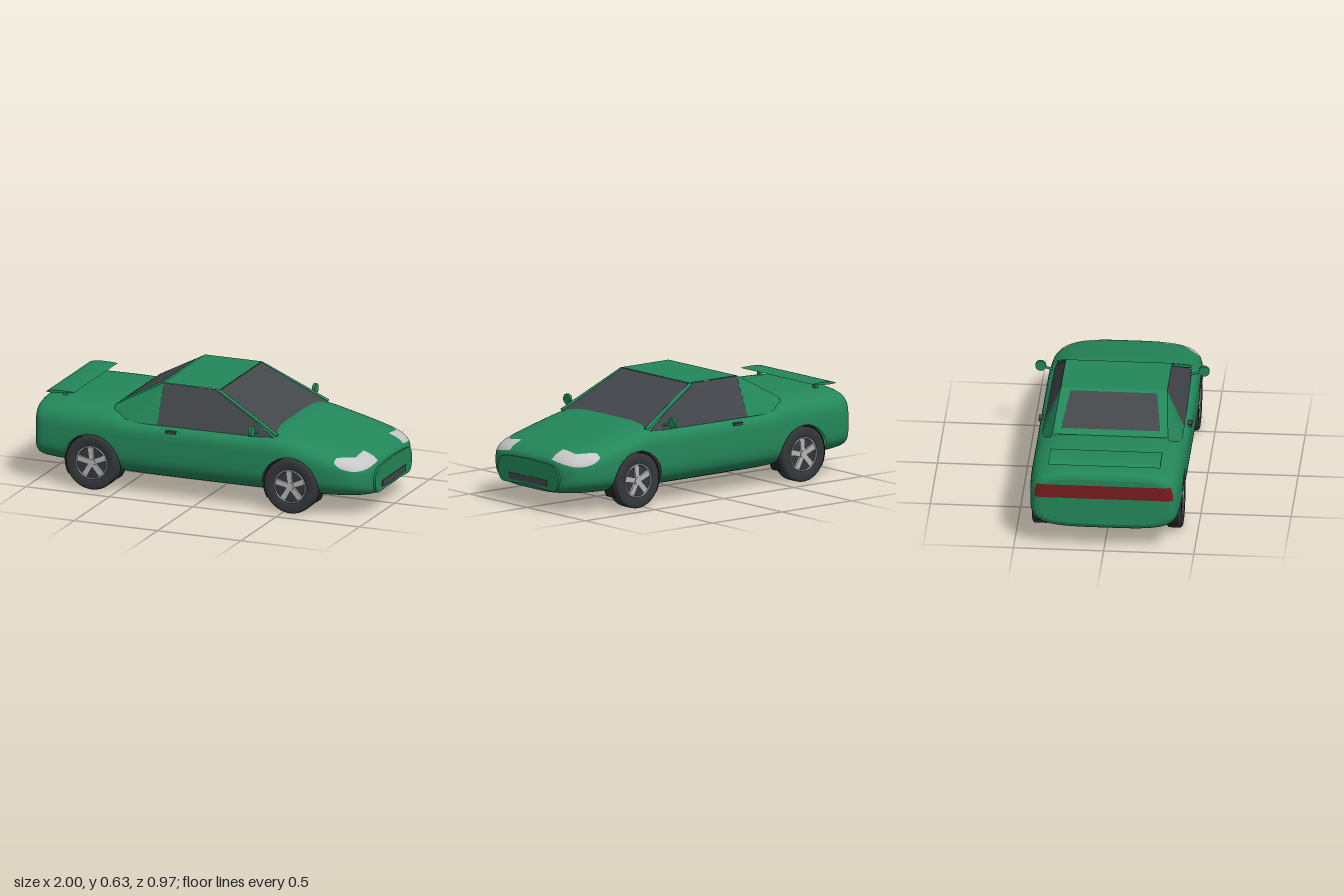
import * as THREE from 'three';

const mat = (name, color, side = THREE.FrontSide) => {
  const m = new THREE.MeshStandardMaterial({ color, side });
  m.name = name;
  return m;
};

// Body stations: x, half width, bottom, widest height, top, lower and upper squareness
const STATIONS = [
  [-1.0, 0.355, 0.165, 0.28, 0.435, 4, 5],
  [-0.985, 0.388, 0.14, 0.28, 0.462, 4, 4.5],
  [-0.94, 0.41, 0.122, 0.28, 0.478, 3.6, 4],
  [-0.8, 0.419, 0.11, 0.28, 0.483, 3.5, 4],
  [-0.55, 0.42, 0.09, 0.28, 0.48, 3.5, 4],
  [-0.42, 0.42, 0.08, 0.27, 0.44, 3.5, 5],
  [-0.1, 0.42, 0.077, 0.27, 0.432, 3.5, 5.5],
  [0.25, 0.42, 0.077, 0.27, 0.435, 3.5, 5],
  [0.44, 0.42, 0.08, 0.265, 0.447, 3.5, 4.5],
  [0.6, 0.419, 0.083, 0.26, 0.415, 3.5, 4],
  [0.76, 0.412, 0.085, 0.245, 0.377, 3.3, 3.6],
  [0.87, 0.388, 0.09, 0.235, 0.35, 3.2, 3.4],
  [0.94, 0.345, 0.098, 0.22, 0.325, 3.2, 3.4],
  [0.975, 0.29, 0.108, 0.205, 0.298, 3.5, 3.5],
  [0.985, 0.25, 0.122, 0.2, 0.275, 4, 4],
];
const LAST = STATIONS.length - 1;
const WHEELS_X = [-0.645, 0.545], HUB_Y = 0.155, ARCH_R = 0.167, WELL_Z = 0.31;

// Smooth blend between stations
function station(u) {
  const i = Math.min(Math.floor(u), LAST - 1), t = u - i;
  const [a, b, c, d] = [i - 1, i, i + 1, i + 2].map(k => STATIONS[THREE.MathUtils.clamp(k, 0, LAST)]);
  return b.map((p, k) => {
    const m0 = (c[k] - a[k]) / 2, m1 = (d[k] - p) / 2, q = c[k];
    return (2 * p - 2 * q + m0 + m1) * t ** 3 + (3 * q - 3 * p - 2 * m0 - m1) * t * t + m0 * t + p;
  });
}

function bodyPoint(u, t) {
  const [x, w, bottom, mid, top, nLow, nHigh] = station(THREE.MathUtils.clamp(u, 0, LAST));
  const c = Math.cos(t), s = Math.sin(t), e = 2 / (s < 0 ? nLow : nHigh);
  const y = s < 0 ? mid - (mid - bottom) * (-s) ** e : mid + (top - mid) * s ** e;
  return new THREE.Vector3(x, y, Math.sign(c) * w * Math.abs(c) ** e);
}

// Vertex as [x, y, z, nx, ny, nz]
function bodyVertex(u, t) {
  const du = bodyPoint(u + 0.1, t).sub(bodyPoint(u - 0.1, t));
  const dt = bodyPoint(u, t + 0.04).sub(bodyPoint(u, t - 0.04));
  return [...bodyPoint(u, t), ...du.cross(dt).normalize()];
}

function bodyTriangles() {
  const SUB = 6, NU = LAST * SUB, NT = 88, tris = [], grid = [];
  for (let i = 0; i <= NU; i++) {
    grid.push(Array.from({ length: NT + 1 }, (_, j) => bodyVertex(i / SUB, j / NT * Math.PI * 2)));
  }
  for (let i = 0; i < NU; i++) for (let j = 0; j < NT; j++) {
    const a = grid[i][j], b = grid[i + 1][j], c = grid[i + 1][j + 1], d = grid[i][j + 1];
    tris.push([a, b, c], [a, c, d]);
  }
  // flat nose and tail
  for (const [ring, s] of [[grid[0], -1], [grid[NU], 1]]) {
    const flat = v => [v[0], v[1], v[2], s, 0, 0];
    const centre = [ring[0][0], ring[0][1], 0, s, 0, 0];
    for (let j = 0; j < NT; j++) {
      const p = flat(ring[j]), q = flat(ring[j + 1]);
      tris.push(s > 0 ? [centre, q, p] : [centre, p, q]);
    }
  }
  return tris;
}

// Cuts triangles along f = 0 and returns [inside, outside]
function split(tris, f) {
  const out = [[], []];
  for (const tri of tris) {
    const val = tri.map(v => f(v[0], v[1], v[2]));
    [1, -1].forEach((sign, side) => {
      const poly = [];
      tri.forEach((v, i) => {
        const k = (i + 1) % 3, a = val[i] * sign, b = val[k] * sign;
        if (a < 0 || (a === 0 && side)) poly.push(v);
        if (a * b < 0) poly.push(v.map((p, n) => p + (tri[k][n] - p) * a / (a - b)));
      });
      for (let i = 2; i < poly.length; i++) out[side].push([poly[0], poly[i - 1], poly[i]]);
    });
  }
  return out;
}

// Region where every test is negative
function carve(tris, tests) {
  let inside = tris;
  const rest = [];
  for (const f of tests) {
    const [a, b] = split(inside, f);
    inside = a;
    for (const tri of b) rest.push(tri);
  }
  return [inside, rest];
}

function skin(tris) {
  const g = new THREE.BufferGeometry(), v = tris.flat();
  g.setAttribute('position', new THREE.Float32BufferAttribute(v.flatMap(p => p.slice(0, 3)), 3));
  g.setAttribute('normal', new THREE.Float32BufferAttribute(v.flatMap(p => p.slice(3)), 3));
  return g;
}

// Flat convex panel
function panel(points) {
  const pos = [];
  for (let i = 2; i < points.length; i++) pos.push(...points[0], ...points[i - 1], ...points[i]);
  const g = new THREE.BufferGeometry();
  g.setAttribute('position', new THREE.Float32BufferAttribute(pos, 3));
  g.computeVertexNormals();
  return g;
}

export function createModel() {
  const car = new THREE.Group();
  car.name = 'car';
  const paint = mat('green paint', 0x23875a), panelPaint = paint.clone();
  paint.side = THREE.DoubleSide;
  const glass = mat('dark glass', 0x43474b, THREE.DoubleSide);
  const rubber = mat('tyre rubber', 0x35383b), under = mat('underbody black', 0x242628, THREE.DoubleSide);
  const silver = mat('rim silver', 0xb4b4b4), lamp = mat('headlight white', 0xc6c6c6);
  const red = mat('taillight red', 0x781c1c);
  const add = (name, geo, material, parent = car) => {
    const m = new THREE.Mesh(geo, material);
    m.name = name;
    parent.add(m);
    return m;
  };
  const rod = (a, b, r) => new THREE.TubeGeometry(
    new THREE.LineCurve3(new THREE.Vector3(...a), new THREE.Vector3(...b)), 1, r, 8);

  // Body shell with wheel openings, floor and lamps cut from it
  let shell = bodyTriangles(), floor, heads, tail;
  for (const cx of WHEELS_X) {
    shell = carve(shell, [(x, y) => Math.hypot(x - cx, y - HUB_Y) - ARCH_R, (x, y, z) => WELL_Z - Math.abs(z)])[1];
  }
  [floor, shell] = carve(shell, [(x, y) => y - 0.113, x => x - 0.42, x => -0.5 - x]);
  [heads, shell] = carve(shell, [
    (x, y, z) => 0.18 - Math.abs(z),
    (x, y, z) => 0.89 - 0.09 * THREE.MathUtils.clamp((Math.abs(z) - 0.29) / 0.07, 0, 1) - x,
    (x, y) => Math.hypot((x - 0.885) / 0.09, (y - 0.31 + 0.2 * (x - 0.885)) / 0.037) - 1,
  ]);
  [tail, shell] = carve(shell, [x => x + 0.988, (x, y) => y - 0.4, (x, y) => 0.32 - y]);
  add('body', skin(shell), paint);
  add('floor', skin(floor), under);
  add('headlights', skin(heads), lamp);
  add('taillight', skin(tail), red);

  // Nose plate and intake
  const half = [[0.2, 0.266], [0.245, 0.242], [0.262, 0.2], [0.25, 0.145], [0.22, 0.121], [0.15, 0.121]];
  const outline = [[0, 0.275], ...half, [0, 0.128], ...half.map(([z, y]) => [-z, y]).reverse(), [0, 0.275]]
    .map(p => new THREE.Vector2(...p));
  const nose = new THREE.Shape().moveTo(0, 0.275);
  nose.splineThru(outline.slice(1));
  add('nosePlate', new THREE.ExtrudeGeometry(nose, { depth: 0.065, bevelEnabled: false, curveSegments: 4 })
    .rotateY(Math.PI / 2).translate(0.93, 0, 0), paint);
  add('intake', new THREE.BoxGeometry(0.006, 0.036, 0.33).translate(0.996, 0.158, 0), glass);

  // Cabin
  add('roof', panel([[-0.26, 0.63, 0.295], [0.08, 0.63, 0.295], [0.08, 0.63, -0.295], [-0.26, 0.63, -0.295]]), paint);
  add('windshield', panel([[0.08, 0.627, 0.29], [0.45, 0.425, 0.36], [0.45, 0.425, -0.36], [0.08, 0.627, -0.29]]), glass);
  add('rearSlope', panel([[-0.54, 0.48, 0.32], [-0.26, 0.63, 0.295], [-0.26, 0.63, -0.295], [-0.54, 0.48, -0.32]]), paint);
  add('rearWindow', panel([[-0.507, 0.503, 0.275], [-0.282, 0.623, 0.24], [-0.282, 0.623, -0.24], [-0.507, 0.503, -0.275]]), glass);
  for (const s of [1, -1]) {
    add('sideWindow', panel([[-0.26, 0.41, s * 0.39], [0.44, 0.41, s * 0.378], [0.08, 0.628, s * 0.295], [-0.26, 0.628, s * 0.295]]), glass);
    add('rearPillar', panel([[-0.26, 0.63, s * 0.295], [-0.26, 0.41, s * 0.39], [-0.4, 0.41, s * 0.39], [-0.54, 0.43, s * 0.35], [-0.54, 0.48, s * 0.32]]), paint);
    add('windshieldPillar', rod([0.075, 0.622, s * 0.295], [0.45, 0.425, s * 0.364], 0.01), paint);
    // Mirror and door handle
    add('mirror', new THREE.CylinderGeometry(0.03, 0.03, 0.016, 24).rotateZ(Math.PI / 2)
      .translate(0.333, 0.459, s * 0.453), paint);
    add('mirrorStalk', rod([0.333, 0.435, s * 0.375], [0.333, 0.452, s * 0.435], 0.007), paint);
    add('doorHandle', new THREE.BoxGeometry(0.058, 0.015, 0.03).translate(-0.168, 0.386, s * 0.41), glass);
  }

  // Rear wing
  const foil = new THREE.Shape().moveTo(-0.96, 0.503);
  foil.quadraticCurveTo(-0.93, 0.525, -0.79, 0.515);
  foil.quadraticCurveTo(-0.9, 0.493, -0.96, 0.503);
  add('wing', new THREE.ExtrudeGeometry(foil, { depth: 0.62, bevelEnabled: false }).translate(0, 0, -0.31), paint);
  for (const s of [1, -1]) add('wingSupport', new THREE.BoxGeometry(0.02, 0.05, 0.02).translate(-0.87, 0.485, s * 0.24), paint);

  // Wheels and wells
  const tyreProfile = [[0.09, -0.04], [0.143, -0.043], [0.155, -0.034], [0.155, 0.034], [0.143, 0.043], [0.098, 0.043], [0.093, 0.025]]
    .map(p => new THREE.Vector2(...p));
  const spoke = new THREE.Shape([[-0.014, 0], [0.014, 0], [0.017, 0.093], [-0.017, 0.093]].map(p => new THREE.Vector2(...p)));
  const wellWall = new THREE.Shape();
  wellWall.absarc(0, 0, ARCH_R, -Math.PI / 6, Math.PI * 7 / 6, false);
  for (const cx of WHEELS_X) for (const s of [1, -1]) {
    const wheel = new THREE.Group();
    wheel.name = 'wheel';
    wheel.position.set(cx, HUB_Y, s * 0.372);
    if (s < 0) wheel.rotation.y = Math.PI;
    add('tyre', new THREE.LatheGeometry(tyreProfile, 40).rotateX(Math.PI / 2), rubber, wheel);
    add('rimBack', new THREE.CylinderGeometry(0.094, 0.094, 0.05, 32).rotateX(Math.PI / 2), rubber, wheel);
    add('rimEdge', new THREE.TorusGeometry(0.091, 0.005, 6, 40).translate(0, 0, 0.037), silver, wheel);
    for (let i = 0; i < 5; i++) {
      add('spoke', new THREE.ExtrudeGeometry(spoke, { depth: 0.014, bevelEnabled: false })
        .rotateZ(i * Math.PI * 0.4 + 0.1).translate(0, 0, 0.024), silver, wheel);
    }
    add('hub', new THREE.CylinderGeometry(0.022, 0.024, 0.02, 20).rotateX(Math.PI / 2).translate(0, 0, 0.032), silver, wheel);
    car.add(wheel);
    add('wheelArch', new THREE.CylinderGeometry(ARCH_R, ARCH_R, 0.085, 40, 1, true, Math.PI / 3, Math.PI * 4 / 3)
      .rotateX(Math.PI / 2).translate(cx, HUB_Y, s * (WELL_Z + 0.0425)), under);
    add('wheelWellWall', new THREE.ShapeGeometry(wellWall, 24).translate(cx, HUB_Y, s * WELL_Z), under);
  }
  return car;
}
